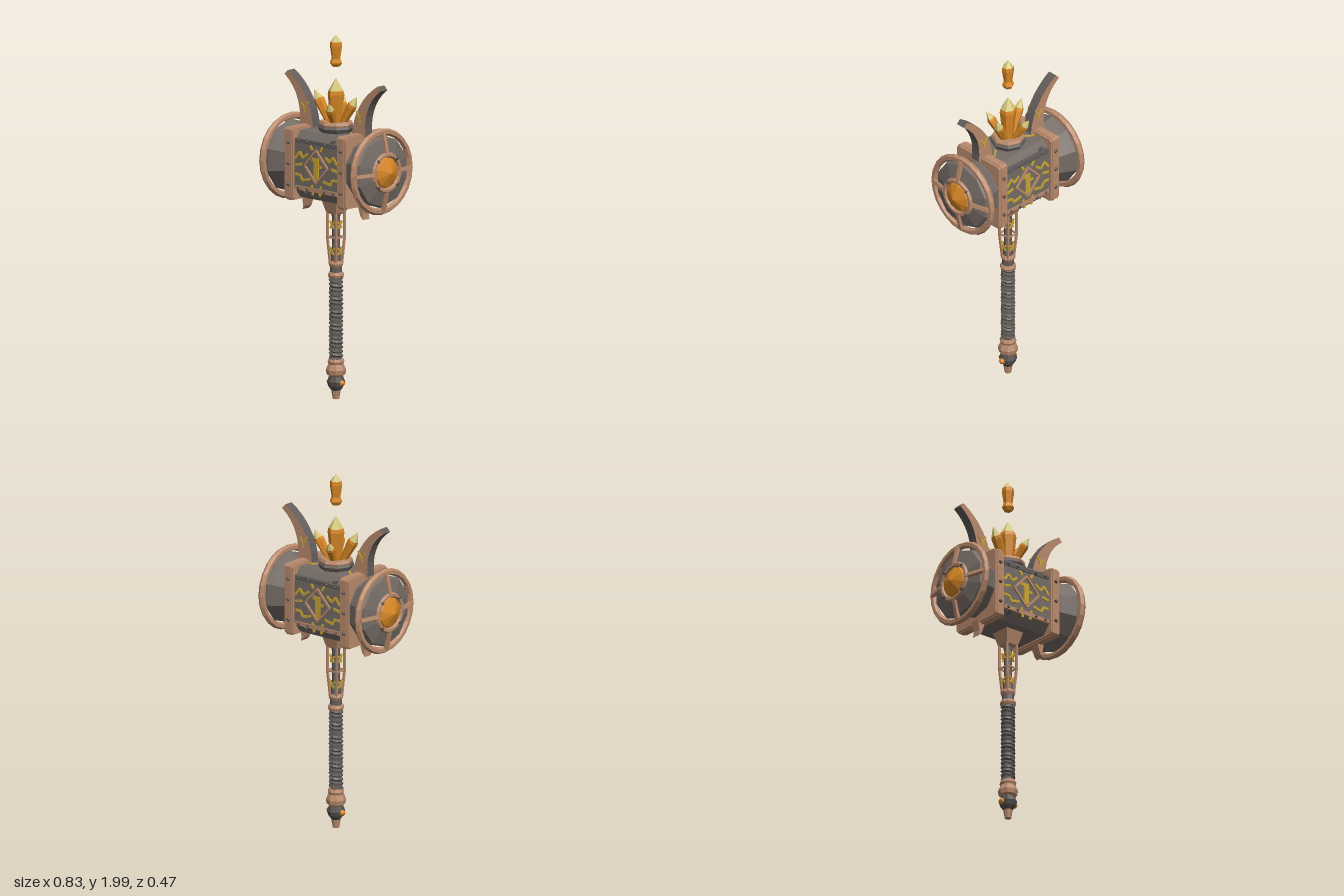
import * as THREE from 'three';

const mat = (name, color) => {
  const m = new THREE.MeshStandardMaterial({ color });
  m.name = name;
  return m;
};
const V = (x, y, z) => new THREE.Vector3(x, y, z);

export function createModel() {
  const stone = mat('stone', 0x756c66), darkStone = mat('darkStone', 0x625d5a);
  const copper = mat('copper', 0xb98a6c), iron = mat('iron', 0x55504f);
  const amber = mat('amber', 0xd98826), pale = mat('paleCrystal', 0xd6c97c);
  const gold = mat('gold', 0xcaa632);
  const CY = 1.297; // height of the hammer axis
  const model = new THREE.Group();
  model.name = 'warHammer';

  // Faceted mesh added to a parent
  function add(parent, name, geo, material, x = 0, y = 0, z = 0) {
    const g = geo.index ? geo.toNonIndexed() : geo;
    g.computeVertexNormals();
    const m = new THREE.Mesh(g, material);
    m.name = name;
    m.position.set(x, y, z);
    parent.add(m);
    return m;
  }
  // Profile of [radius, height] pairs turned around y
  const lathe = (pts, n) => new THREE.LatheGeometry(pts.map(p => new THREE.Vector2(p[0], p[1])), n);
  // Same, with its axis along +x
  const latheX = (pts, n) => lathe(pts, n).rotateY(Math.PI / n).rotateZ(-Math.PI / 2);
  // Box beam running from a to b
  function bar(parent, name, a, b, w, d, material) {
    const dir = b.clone().sub(a);
    const m = add(parent, name, new THREE.BoxGeometry(w, dir.length(), d), material);
    m.position.copy(a).add(b).multiplyScalar(0.5);
    m.quaternion.setFromUnitVectors(V(0, 1, 0), dir.normalize());
    return m;
  }
  // Thin painted line in the xy plane
  function rune(parent, pts, z, w = 0.014) {
    for (let i = 1; i < pts.length; i++)
      bar(parent, 'rune', V(...pts[i - 1], z), V(...pts[i], z), w, 0.006, gold);
  }
  // Prism along x with chamfered cross-section
  function prismX(len, hz, hy, cz, cy) {
    const s = new THREE.Shape([[hz, hy - cy], [hz - cz, hy], [cz - hz, hy], [-hz, hy - cy],
      [-hz, cy - hy], [cz - hz, -hy], [hz - cz, -hy], [hz, cy - hy]].map(p => new THREE.Vector2(...p)));
    return new THREE.ExtrudeGeometry(s, { depth: len, bevelEnabled: false })
      .translate(0, 0, -len / 2).rotateY(Math.PI / 2);
  }
  // Crystal with a pale point, standing from base to tip
  function crystal(parent, name, base, tip, r) {
    const dir = tip.clone().sub(base), h = dir.length();
    const g = new THREE.Group();
    g.name = name;
    add(g, 'crystalBody', lathe([[0, 0], [r * 0.6, 0], [r, h * 0.66], [r * 0.9, h * 0.74]], 6), amber);
    add(g, 'crystalTip', lathe([[r * 0.9, h * 0.74], [0, h]], 6), pale);
    g.position.copy(base);
    g.quaternion.setFromUnitVectors(V(0, 1, 0), dir.normalize());
    parent.add(g);
  }

  // Pommel
  add(model, 'pommelTip', lathe([[0, 0.01], [0.018, 0.01], [0.026, 0.06], [0, 0.06]], 8), copper);
  add(model, 'pommelStone', lathe([[0.024, 0.055], [0.042, 0.08], [0.05, 0.105], [0.035, 0.14]], 8), iron);
  for (const s of [1, -1]) add(model, 'pommelGem', new THREE.IcosahedronGeometry(0.019, 0), amber, s * 0.044, 0.1, 0);
  add(model, 'pommelCollar', lathe([[0.03, 0.13], [0.05, 0.145], [0.055, 0.17], [0.042, 0.2], [0.03, 0.205]], 8), copper);

  // Wrapped grip
  add(model, 'gripCore', new THREE.CylinderGeometry(0.031, 0.031, 0.5, 10), darkStone, 0, 0.45, 0);
  const turns = 19, coil = [];
  for (let i = 0; i <= turns * 10; i++) {
    const a = i * Math.PI / 5;
    coil.push(V(0.03 * Math.cos(a), 0.225 + 0.45 * i / (turns * 10), 0.03 * Math.sin(a)));
  }
  add(model, 'gripWrap', new THREE.TubeGeometry(new THREE.CatmullRomCurve3(coil), turns * 10, 0.0105, 5), darkStone);
  for (const [y, r] of [[0.215, 0.046], [0.688, 0.045], [0.75, 0.041]])
    add(model, 'gripRing', lathe([[0.02, y - 0.017], [r - 0.006, y - 0.015], [r, y], [r - 0.006, y + 0.015], [0.02, y + 0.017]], 10), copper);

  // Upper shaft with caged straps
  add(model, 'upperShaft', lathe([[0.034, 0.69], [0.03, 0.76], [0.021, 0.86], [0.022, 1.0], [0.034, 1.12]], 8), darkStone);
  for (let i = 0; i < 4; i++) {
    const side = new THREE.Group();
    side.name = 'shaftSide';
    side.rotation.y = i * Math.PI / 2;
    bar(side, 'strap', V(0.022, 0.75, 0.022), V(0.033, 0.9, 0.033), 0.011, 0.011, copper);
    bar(side, 'strap', V(0.033, 0.9, 0.033), V(0.033, 1.06, 0.033), 0.011, 0.011, copper);
    bar(side, 'strapTie', V(-0.033, 0.895, 0.033), V(0.033, 0.895, 0.033), 0.009, 0.007, copper);
    for (const y of [0.82, 0.965]) {
      rune(side, [[-0.016, y + 0.016], [0, y], [0.016, y + 0.016]], 0.03, 0.009);
      rune(side, [[-0.013, y - 0.02], [0, y], [0.01, y - 0.02]], 0.03, 0.009);
    }
    model.add(side);
  }
  add(model, 'headSocket', lathe([[0.03, 1.02], [0.053, 1.03], [0.085, 1.115], [0, 1.115]], 4).rotateY(Math.PI / 4), copper);

  // Stone block
  add(model, 'headBlock', prismX(0.36, 0.15, 0.183, 0.045, 0.06), stone, 0, CY - 0.008, 0);

  // Front and back faces
  for (const r of [0, Math.PI]) {
    const face = new THREE.Group();
    face.name = 'decoratedFace';
    face.rotation.y = r;
    const z = 0.152;
    for (const y of [1.168, 1.425]) {
      add(face, 'rail', new THREE.BoxGeometry(0.31, 0.022, 0.026), y > 1.3 ? darkStone : copper, 0, y, 0.143);
      for (const x of [-0.13, -0.065, 0.065, 0.13])
        add(face, 'railRivet', new THREE.IcosahedronGeometry(0.009, 0), iron, x, y, 0.157);
    }
    const d = [[0, 1.388], [0.085, CY], [0, 1.206], [-0.085, CY], [0, 1.388]];
    for (let i = 1; i < 5; i++)
      bar(face, 'diamondFrame', V(...d[i - 1], z), V(...d[i], z), 0.012, 0.014, copper);
    rune(face, [[0, 1.225], [0, 1.345]], z, 0.034);
    rune(face, [[-0.035, 1.335], [-0.012, 1.335]], z, 0.02);
    rune(face, [[0.015, 1.3], [0.04, 1.3]], z, 0.016);
    for (const s of [1, -1]) {
      const line = pts => rune(face, pts.map(p => [p[0] * s, p[1]]), z);
      line([[0.155, 1.325], [0.125, 1.365], [0.1, 1.335], [0.065, 1.36]]);
      line([[0.155, 1.24], [0.12, 1.24], [0.105, 1.212], [0.05, 1.225]]);
      line([[0.11, 1.3], [0.155, 1.29]]);
      line([[0.035, 1.195], [0.025, 1.14]]);
      line([[0.03, 1.385], [0.045, 1.41]]);
      const chip = add(face, 'stoneChip', new THREE.TetrahedronGeometry(0.025), darkStone, s * 0.11, 1.295 + s * 0.145, 0.132);
      chip.rotation.set(0.4, s, 0.3);
    }
    model.add(face);
  }

  // Horn outline, grey edges and copper sides
  const horn = new THREE.Shape();
  horn.moveTo(0.145, 1.475);
  horn.quadraticCurveTo(0.155, 1.58, 0.205, 1.645);
  horn.quadraticCurveTo(0.25, 1.715, 0.335, 1.765);
  horn.lineTo(0.357, 1.742);
  horn.quadraticCurveTo(0.285, 1.69, 0.26, 1.62);
  horn.quadraticCurveTo(0.235, 1.56, 0.245, 1.475);
  const spike = new THREE.Shape([[0.18, 1.11], [0.205, 1.04], [0.224, 1.02], [0.222, 1.05], [0.232, 1.11]].map(p => new THREE.Vector2(...p)));

  // Left and right ends
  for (const r of [0, Math.PI]) {
    const end = new THREE.Group();
    end.name = r ? 'rightEnd' : 'leftEnd';
    end.rotation.y = r;
    add(end, 'band', prismX(0.062, 0.162, 0.195, 0.012, 0.012), copper, 0.195, CY - 0.005, 0);
    add(end, 'bandLip', prismX(0.036, 0.166, 0.199, 0.012, 0.012), copper, 0.195, CY - 0.005, 0);
    for (const z of [0.168, -0.168]) for (const y of [1.18, 1.295, 1.41])
      add(end, 'bandRivet', new THREE.IcosahedronGeometry(0.011, 0), iron, 0.195, y, z);

    // Flared drum and striking face
    add(end, 'drum', latheX([[0.165, 0.2], [0.165, 0.235], [0.187, 0.295], [0.2, 0.335]], 10), stone, 0, CY, 0);
    add(end, 'strikingFace', latheX([[0.2, 0.325], [0.19, 0.35], [0.1, 0.374], [0, 0.374]], 10), stone, 0, CY, 0);
    add(end, 'rim', new THREE.TorusGeometry(0.217, 0.019, 6, 24).rotateY(Math.PI / 2), copper, 0.337, CY, 0);
    add(end, 'gemRing', new THREE.TorusGeometry(0.098, 0.014, 6, 20).rotateY(Math.PI / 2), copper, 0.376, CY, 0);
    add(end, 'faceGem', latheX([[0.088, 0.37], [0.08, 0.384], [0, 0.417]], 10), amber, 0, CY, 0);
    for (let i = 0; i < 4; i++) {
      const a = i * Math.PI / 2, c = Math.cos(a), s = Math.sin(a);
      bar(end, 'spoke', V(0.378, CY + 0.1 * c, 0.1 * s), V(0.352, CY + 0.215 * c, 0.215 * s), 0.02, 0.02, copper);
      const k = a + Math.PI / 4;
      add(end, 'ringStud', new THREE.IcosahedronGeometry(0.011, 0), iron, 0.386, CY + 0.1 * Math.cos(k), 0.1 * Math.sin(k));
    }

    // Horn and lower spike
    for (const [name, shape, t] of [['horn', horn, 0.054], ['lowerSpike', spike, 0.05]])
      add(end, name, new THREE.ExtrudeGeometry(shape, { depth: t, bevelEnabled: false, curveSegments: 4 })
        .translate(0, 0, -t / 2), name === 'horn' ? [copper, darkStone] : copper);
    for (const z of [0.028, -0.028]) {
      rune(end, [[0.18, 1.61], [0.205, 1.57], [0.23, 1.605]], z, 0.009);
      rune(end, [[0.205, 1.57], [0.205, 1.55]], z, 0.009);
    }

    // Gold crack on the top of the block
    const crack = new THREE.Group();
    crack.name = 'topCrack';
    crack.rotation.x = -Math.PI / 2;
    crack.position.y = 1.474;
    const q = r ? 1 : -1;
    rune(crack, [[0.16, -0.04 * q * -1], [0.135, 0.04 * q], [0.1, 0.005 * q]].map((p, i) => [p[0], i ? p[1] * -1 : -0.04 * q]), 0, 0.01);
    model.add(end);
    end.add(crack);
  }

  // Crystal cluster on its collar
  add(model, 'crystalCollar', lathe([[0.08, 1.46], [0.098, 1.495], [0.088, 1.51]], 8), darkStone);
  add(model, 'collarRing', lathe([[0.088, 1.503], [0.093, 1.515], [0.085, 1.53], [0.06, 1.53], [0.05, 1.515], [0, 1.515]], 8), copper);
  crystal(model, 'mainCrystal', V(0, 1.5, 0), V(0, 1.765, 0), 0.046);
  for (const [x, y, z, r] of [[-0.13, 1.69, 0.03, 0.03], [0.122, 1.672, -0.035, 0.028],
    [0.052, 1.645, 0.112, 0.025], [-0.046, 1.648, -0.115, 0.025]])
    crystal(model, 'sideCrystal', V(x * 0.25, 1.505, z * 0.25), V(x, y, z), r);

  // Floating crystal
  add(model, 'floatingCrystal', lathe([[0, 1.825], [0.022, 1.828], [0.034, 1.848], [0.024, 1.872], [0.034, 1.94], [0.031, 1.962]], 6), amber);
  add(model, 'floatingCrystalTip', lathe([[0.031, 1.962], [0, 2]], 6), pale);
  return model;
}
